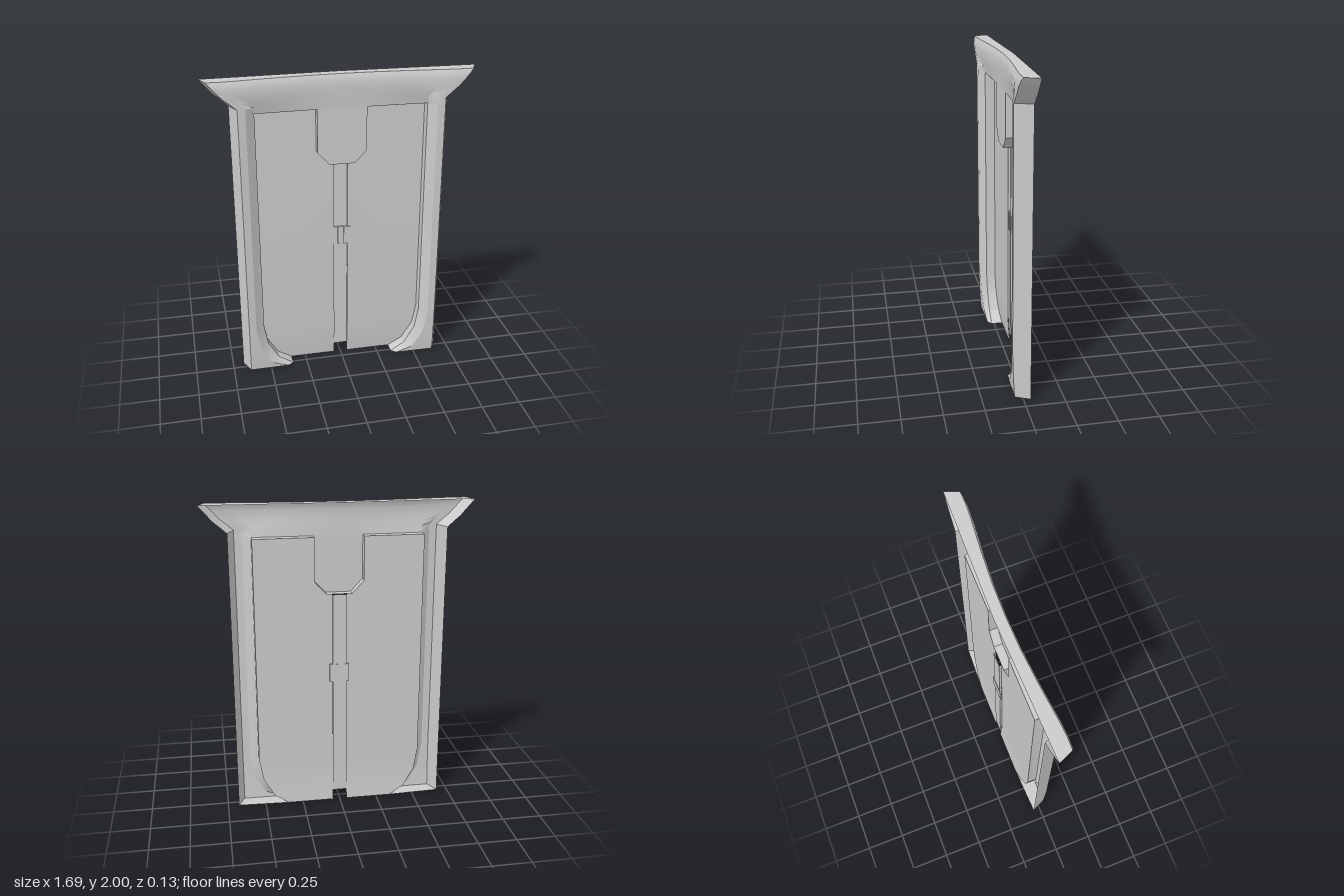
import * as THREE from 'three';
import { toCreasedNormals } from 'three/addons/utils/BufferGeometryUtils.js';

const material = new THREE.MeshStandardMaterial({ color: 0xcccccc, side: THREE.DoubleSide });

// Skin a sheet over rows of points that all have the same length
function loft(name, rows, flip = false) {
  const n = rows[0].length, index = [];
  for (let i = 0; i < rows.length - 1; i++) {
    for (let j = 0; j < n - 1; j++) {
      const a = i * n + j, b = a + 1, c = a + n, d = c + 1;
      if (flip) index.push(a, b, c, b, d, c);
      else index.push(a, c, b, b, c, d);
    }
  }
  const g = new THREE.BufferGeometry();
  g.setAttribute('position', new THREE.Float32BufferAttribute(rows.flat(2), 3));
  g.setIndex(index);
  const mesh = new THREE.Mesh(toCreasedNormals(g, 0.45), material);
  mesh.name = name;
  return mesh;
}

function box(name, x0, x1, y0, y1, z0, z1) {
  const mesh = new THREE.Mesh(new THREE.BoxGeometry(x1 - x0, y1 - y0, z1 - z0), material);
  mesh.position.set((x0 + x1) / 2, (y0 + y1) / 2, (z0 + z1) / 2);
  mesh.name = name;
  return mesh;
}

const lerp = THREE.MathUtils.lerp;
const BACK = -0.045, STRIP = -0.058, TAB = 0.012, TOP = 1.79;

// Panels lean back towards the bottom edge
function panelZ(y) {
  const t = Math.max(0, 1 - y / 0.28);
  return -0.043 - 0.016 * t * t;
}

// Side rail with the corner foot: outer wall, front face, bevel and inner step
function rail(s) {
  // outer y, crest x, crest y, crest z, inner x, inner y, inner z
  const stations = [
    [TOP, 0.59, TOP, 0.058, 0.535, TOP, 0.02],
    [0.32, 0.59, 0.32, 0.058, 0.535, 0.32, 0.02],
    [0.15, 0.56, 0.15, 0.053, 0.51, 0.18, 0.018],
    [0.04, 0.49, 0.04, 0.047, 0.44, 0.06, 0.016],
    [0, 0.38, 0, 0.043, 0.345, 0, 0.015],
  ];
  const rows = stations.map(([y, cx, cy, cz, ix, iy, iz]) => [
    [s * 0.68, y, BACK], [s * 0.637, y, cz + 0.003], [s * cx, cy, cz],
    [s * ix, iy, iz], [s * ix, iy, panelZ(iy)],
  ]);
  const group = new THREE.Group();
  group.name = s > 0 ? 'leftRail' : 'rightRail';
  group.add(loft('railShell', rows, s > 0));
  // Underside of the foot
  group.add(loft('footBase', [
    [[s * 0.68, 0, BACK], [s * 0.637, 0, 0.046]],
    [[s * 0.38, 0, -0.058], [s * 0.38, 0, 0.043]],
    [[s * 0.345, 0, -0.059], [s * 0.345, 0, 0.015]],
  ], s < 0));
  return group;
}

// Recessed panel with the cut-out for the tab
function panel(s) {
  const spans = [
    [0, 0.045, 0.345], [0.06, 0.045, 0.44], [0.12, 0.045, 0.475], [0.18, 0.045, 0.51],
    [0.25, 0.045, 0.523], [0.32, 0.045, 0.535], [1.43, 0.045, 0.535],
    [1.43, 0.08, 0.535], [1.51, 0.155, 0.535], [TOP, 0.155, 0.535],
  ];
  const rows = spans.map(([y, a, b]) => [[s * a, y, panelZ(y)], [s * b, y, panelZ(y)]]);
  return loft(s > 0 ? 'leftPanel' : 'rightPanel', rows, s > 0);
}

// Flared header, rolling from the panel opening up to the top edge
function header() {
  const low = [[0, TAB], [0.155, TAB], [0.35, 0.014], [0.535, 0.02], [0.59, 0.058], [0.637, 0.061]];
  const high = [[0, 0.016], [0.2, 0.02], [0.42, 0.035], [0.64, 0.056], [0.74, 0.062], [0.81, 0.06]];
  // height, flare amount, blend from low to high profile, roll back at the top
  const levels = [
    [TOP, 0, 0, 0], [1.83, 0, 0.25, 0], [1.865, 0.23, 0.55, 0], [1.9, 0.48, 0.85, 0],
    [1.95, 0.74, 1, 0], [1.98, 0.9, 1, 0.006], [2, 1, 1, 0.016],
  ];
  const rows = levels.map(([y, flare, blend, roll]) => {
    const half = low.map(([x, z], i) =>
      [lerp(x, high[i][0], flare), y, lerp(z, high[i][1], blend) - roll]);
    half.push([lerp(0.68, 0.847, flare), y, BACK]);
    const mirrored = half.slice(1).reverse().map(([x, py, z]) => [-x, py, z]);
    return [...mirrored, ...half];
  });
  const group = new THREE.Group();
  group.name = 'header';
  group.add(loft('headerShell', rows, true));
  // Flat top closing the header
  const front = rows[rows.length - 1];
  const rear = front.map(([x]) => [x, 2, -0.065 + 0.02 * Math.abs(x) / 0.847]);
  group.add(loft('headerTop', [front, rear], true));
  return group;
}

// Central tab hanging from the header, with its step walls
function tab() {
  const group = new THREE.Group();
  group.name = 'tab';
  const rows = [[TOP, 0.155], [1.51, 0.155], [1.43, 0.08]]
    .map(([y, w]) => [[-w, y, TAB], [w, y, TAB]]);
  group.add(loft('tabFace', rows));
  const edge = [[-0.535, TOP], [-0.155, TOP], [-0.155, 1.51], [-0.08, 1.43], [-0.045, 1.43]];
  const outline = [...edge, ...edge.slice().reverse().map(([x, y]) => [-x, y])];
  group.add(loft('stepWall', [
    outline.map(([x, y]) => [x, y, Math.abs(x) > 0.5 ? 0.02 : TAB]),
    outline.map(([x, y]) => [x, y, panelZ(y)]),
  ]));
  return group;
}

export function createModel() {
  const model = new THREE.Group();
  model.name = 'panelAssembly';
  for (const s of [1, -1]) model.add(rail(s), panel(s));
  model.add(header(), tab());

  // Shallow channel between the panels
  model.add(loft('centreChannel', [0.07, 0.25, 1.43].map((y) => [
    [-0.045, y, panelZ(y)], [-0.045, y, STRIP], [0.045, y, STRIP], [0.045, y, panelZ(y)],
  ]), true));

  // Small latch across the channel
  const latch = new THREE.Group();
  latch.name = 'latch';
  latch.add(
    box('latchBacking', -0.06, 0.065, 0.85, 0.97, -0.06, -0.05),
    box('latchPin', -0.018, -0.006, 0.85, 0.97, -0.05, -0.042),
    box('latchPlate', 0.02, 0.065, 0.85, 0.97, -0.05, -0.039),
  );
  model.add(latch);
  return model;
}
